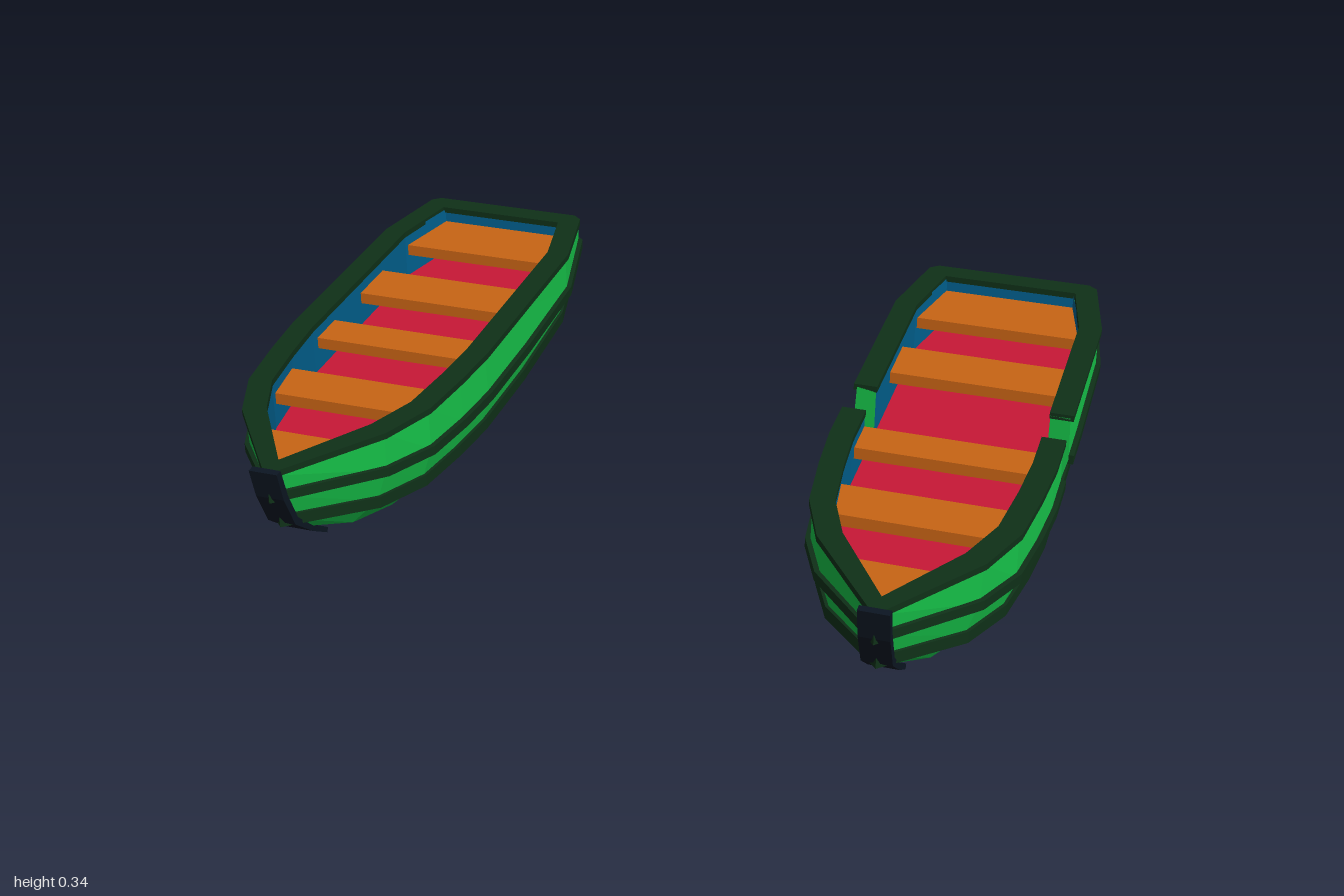
import * as THREE from 'three';

const mat = (color) => new THREE.MeshStandardMaterial({ color, flatShading: true, side: THREE.DoubleSide });
const GREEN = mat(0x16c048), DARK = mat(0x0f3018), RED = mat(0xc81836);
const ORANGE = mat(0xc86414), BLUE = mat(0x00608e), IRON = mat(0x0c1622);
const FLOOR = 0.19, SEAT = 0.25, RIM_Y = 0.317, CUT = 3;

// Half cross-section from keel to gunwale, as [x, y, z]
const section = (z, keelY, bilgeX, bilgeY, lowX, lowY, upX, upY, topX) =>
  [[0, keelY, z], [bilgeX, bilgeY, z], [lowX, lowY, z], [upX, upY, z], [topX, RIM_Y, z]];

// Stations from stern to stem; index CUT is where the broken boat parts
const STATIONS = [
  section(-0.835, 0.10, 0.11, 0.105, 0.19, 0.165, 0.215, 0.25, 0.213),
  section(-0.60, 0.03, 0.13, 0.04, 0.235, 0.13, 0.262, 0.215, 0.26),
  section(-0.27, 0, 0.145, 0.015, 0.245, 0.12, 0.265, 0.205, 0.26),
  section(-0.13, 0, 0.145, 0.015, 0.245, 0.12, 0.265, 0.205, 0.26),
  section(0, 0, 0.145, 0.015, 0.245, 0.12, 0.265, 0.205, 0.26),
  section(0.14, 0, 0.14, 0.016, 0.232, 0.12, 0.254, 0.205, 0.25),
  section(0.30, 0.012, 0.12, 0.03, 0.207, 0.12, 0.234, 0.21, 0.232),
  section(0.44, 0.04, 0.08, 0.055, 0.15, 0.13, 0.178, 0.22, 0.18),
  [[0, 0.06, 0.5], [0, 0.10, 0.56], [0, 0.17, 0.64], [0, 0.255, 0.68], [0, RIM_Y, 0.695]],
];
// Inner side of the wall at the same stations: [x, z]
const INNER = [[0.168, -0.79], [0.212, -0.60], [0.212, -0.27], [0.212, -0.13], [0.212, 0],
  [0.203, 0.14], [0.184, 0.29], [0.135, 0.43], [0, 0.635]];

const flip = ([x, y, z]) => [-x, y, z];

// Joins rows of points into a surface
function loft(rows) {
  const pos = [], n = rows[0].length;
  for (let i = 0; i < rows.length - 1; i++) {
    for (let j = 0; j < n - 1; j++) {
      const a = rows[i][j], b = rows[i + 1][j], c = rows[i + 1][j + 1], d = rows[i][j + 1];
      pos.push(...a, ...c, ...b, ...a, ...d, ...c);
    }
  }
  const g = new THREE.BufferGeometry();
  g.setAttribute('position', new THREE.Float32BufferAttribute(pos, 3));
  g.computeVertexNormals();
  return g;
}

const shapeOf = (pts) => new THREE.Shape(pts.map(([x, y]) => new THREE.Vector2(x, y)));
const fullSection = (s) => [...s.slice(1).reverse().map(flip), ...s];

// Upright wall filling a cross-section at one z
const wall = (pts, z) => new THREE.ShapeGeometry(shapeOf(pts)).translate(0, 0, z);

function add(group, name, geometry, material) {
  const mesh = new THREE.Mesh(geometry, material);
  mesh.name = name;
  group.add(mesh);
}

// Rectangular strip swept along a path, mitred at its corners
function strip(path, closed, inset, outset, halfHeight) {
  const n = path.length;
  const normal = (a, b) => new THREE.Vector2(b[2] - a[2], a[0] - b[0]).normalize();
  const rows = path.map((p, i) => {
    const prev = closed || i > 0 ? path[(i + n - 1) % n] : null;
    const next = closed || i < n - 1 ? path[(i + 1) % n] : null;
    const n1 = normal(prev || p, prev ? p : next), n2 = normal(next ? p : prev, next || p);
    const m = n1.clone().add(n2).normalize();
    m.divideScalar(Math.max(0.8, m.dot(n1)));
    const at = (d, h) => [p[0] + m.x * d, p[1] + h, p[2] + m.y * d];
    const o = at(outset, halfHeight);
    return [o, at(-inset, halfHeight), at(-inset, -halfHeight), at(outset, -halfHeight), o];
  });
  if (closed) rows.push(rows[0]);
  else {
    rows.unshift(Array(5).fill(path[0]));
    rows.push(Array(5).fill(path[n - 1]));
  }
  return loft(rows);
}

// Plank with its own width at each end
function plank(z0, w0, z1, w1) {
  const s = shapeOf([[-w0, -z0], [-w1, -z1], [w1, -z1], [w0, -z0]]);
  return new THREE.ExtrudeGeometry(s, { depth: 0.03, bevelEnabled: false })
    .rotateX(-Math.PI / 2).translate(0, SEAT, 0);
}

// Builds the stretch of boat between two stations
function buildHull(name, first, last) {
  const g = new THREE.Group();
  g.name = name;
  const hasStern = first === 0, hasBow = last === STATIONS.length - 1;
  const stations = STATIONS.slice(first, last + 1), inner = INNER.slice(first, last + 1);

  // Planked shell, inner sides and floor
  add(g, 'hull', loft(stations.map(fullSection)), GREEN);
  for (const s of [1, -1]) {
    add(g, s > 0 ? 'leftInnerWall' : 'rightInnerWall',
      loft(inner.map(([x, z]) => [[s * x, RIM_Y, z], [s * x, FLOOR, z]])), BLUE);
  }
  add(g, 'floor', loft(inner.map(([x, z]) => [[-x, FLOOR, z], [x, FLOOR, z]])), RED);

  // Transom, outside and inside
  if (hasStern) {
    add(g, 'transom', wall(fullSection(STATIONS[0]), -0.835), GREEN);
    const [x, z] = INNER[0];
    add(g, 'innerTransom', wall([[-x, RIM_Y], [-x, FLOOR], [x, FLOOR], [x, RIM_Y]], z), BLUE);
  }
  // Broken face showing the thickness of the hull
  if (!hasStern || !hasBow) {
    const [x, z] = INNER[CUT];
    add(g, 'cutFace', wall([...fullSection(STATIONS[CUT]),
      [x, RIM_Y], [x, FLOOR], [-x, FLOOR], [-x, RIM_Y]], z), GREEN);
  }

  // Gunwale and two rubbing strakes, running around stern and bow
  const strips = [['lowerStrake', 2, 0.012, 0.012, 0.015],
    ['upperStrake', 3, 0.012, 0.012, 0.012], ['gunwale', 4, 0.05, 0.008, 0.008]];
  for (const [label, k, inset, outset, h] of strips) {
    const side = stations.map((s) => s[k]);
    if (hasStern) { // bevelled stern corner
      const [x, y, z] = side.shift();
      side.unshift([x - 0.015, y, z], [x + 0.003, y, z + 0.015]);
    }
    const other = side.map(flip).reverse();
    const path = hasBow ? [...side, ...other.slice(1)] : [...other, ...side];
    add(g, label, strip(path, hasStern && hasBow, inset, outset, h), DARK);
  }

  // Seats, as near and far z and half-width, with the half they belong to
  const seats = [[-0.797, 0.17, -0.61, 0.214, hasStern], [-0.44, 0.214, -0.295, 0.214, hasStern],
    [-0.13, 0.214, -0.025, 0.214, hasBow], [0.145, 0.206, 0.275, 0.19, hasBow],
    [0.44, 0.135, 0.642, 0.002, hasBow]];
  seats.forEach(([z0, w0, z1, w1, present], i) => {
    if (present) add(g, 'seat' + (i + 1), plank(z0, w0, z1, w1), ORANGE);
  });

  // Stem post up the bow
  if (hasBow) {
    const profile = shapeOf([[0.49, 0.048], [0.563, 0.096], [0.645, 0.163], [0.69, 0.255],
      [0.712, 0.335], [0.692, 0.335], [0.668, 0.255], [0.63, 0.175], [0.555, 0.105], [0.485, 0.06]]);
    add(g, 'stemPost', new THREE.ExtrudeGeometry(profile, { depth: 0.07, bevelEnabled: false })
      .translate(0, 0, -0.035).rotateY(-Math.PI / 2), IRON);
  }
  return g;
}

export function createModel() {
  const model = new THREE.Group();
  model.name = 'rowingBoats';
  const last = STATIONS.length - 1;

  const whole = buildHull('wholeBoat', 0, last);
  whole.position.x = -0.722;

  // Second boat, broken in two
  const broken = new THREE.Group();
  broken.name = 'brokenBoat';
  const stern = buildHull('sternHalf', 0, CUT);
  stern.position.z = 0.01;
  const bow = buildHull('bowHalf', CUT, last);
  bow.position.z = 0.13;
  broken.add(stern, bow);
  broken.position.x = 0.722;

  model.add(whole, broken);
  return model;
}
